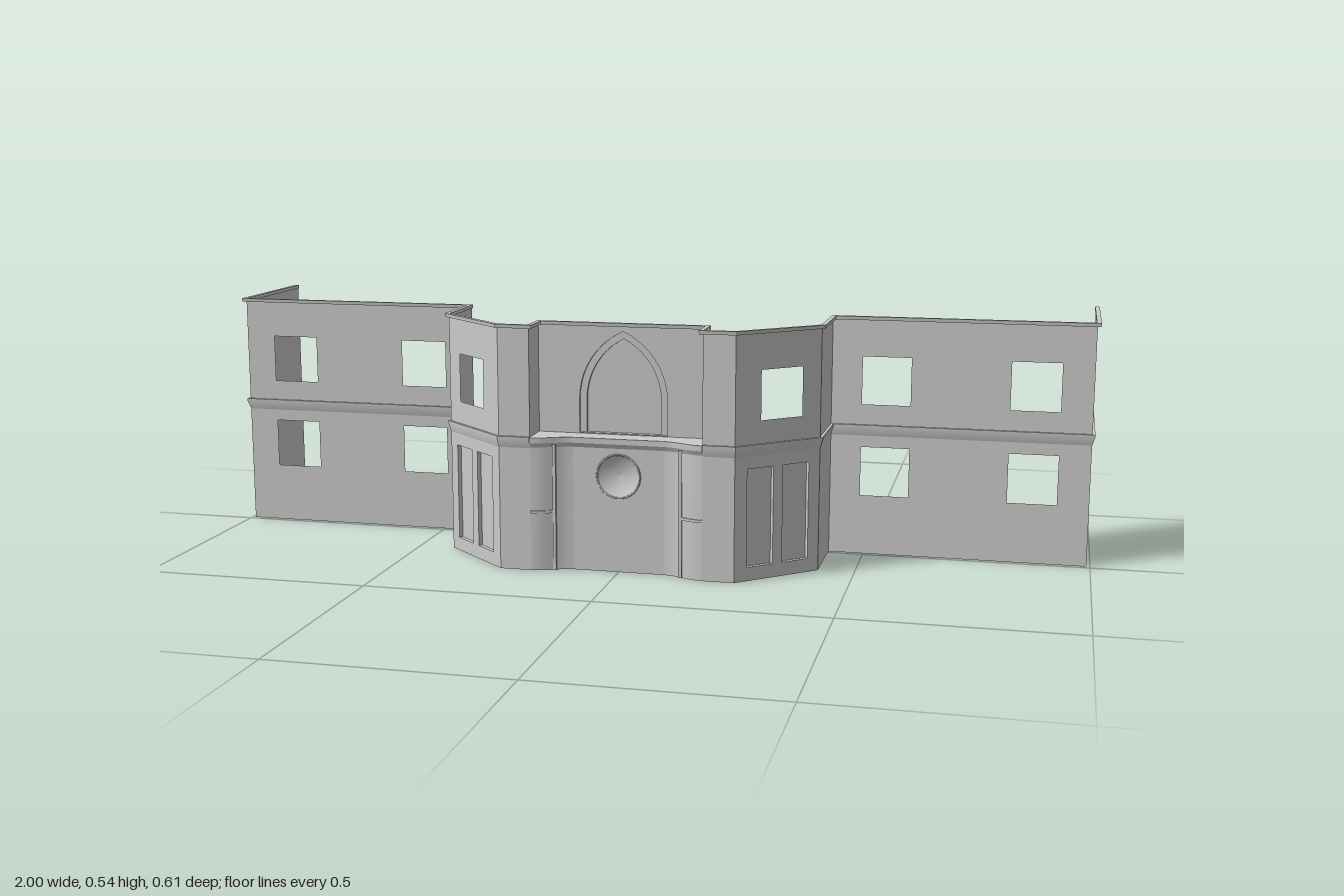
import * as THREE from 'three';
import { toCreasedNormals } from 'three/addons/utils/BufferGeometryUtils.js';

const material = new THREE.MeshStandardMaterial({ color: 0xcccccc, side: THREE.DoubleSide });
const MID = 0.296, TOP = 0.535;

function addMesh(parent, name, geometry) {
  const mesh = new THREE.Mesh(geometry, material);
  mesh.name = name;
  parent.add(mesh);
  return mesh;
}

const rect = (u0, u1, y0, y1) => [[u0, y0], [u1, y0], [u1, y1], [u0, y1]].map(p => new THREE.Vector2(...p));
const mirrorPath = path => path.map(([x, z]) => [-x, z]).reverse();

// Non-indexed surface through a grid of points
function gridGeometry(rows) {
  const pos = [];
  for (let i = 0; i + 1 < rows.length; i++) {
    for (let j = 0; j + 1 < rows[i].length; j++) {
      const a = rows[i][j], b = rows[i + 1][j], c = rows[i + 1][j + 1], d = rows[i][j + 1];
      pos.push(...a, ...b, ...c, ...a, ...c, ...d);
    }
  }
  const g = new THREE.BufferGeometry();
  g.setAttribute('position', new THREE.Float32BufferAttribute(pos, 3));
  g.computeVertexNormals();
  return toCreasedNormals(g, 0.4);
}

// Sweeps an (outward, y) profile along an (x, z) plan path with mitred corners
function sweep(path, profile) {
  const normal = (a, b) => new THREE.Vector2(a[1] - b[1], b[0] - a[0]).normalize();
  const rows = path.map((p, i) => {
    const n1 = normal(path[Math.max(i - 1, 0)], path[Math.max(i, 1)]);
    const n2 = i + 1 < path.length ? normal(p, path[i + 1]) : n1;
    const m = n1.clone().add(n2).divideScalar(1 + n1.dot(n2));
    return profile.map(([o, y]) => [p[0] + m.x * o, y, p[1] + m.y * o]);
  });
  return gridGeometry(rows);
}

// Flat sheet with holes
function sheet(outline, holes = []) {
  const shape = new THREE.Shape(outline);
  holes.forEach(h => shape.holes.push(new THREE.Path(h)));
  return new THREE.ShapeGeometry(shape);
}

// Side faces of a recess, from depth z0 to z1
function reveal(contour, z0, z1) {
  return gridGeometry([...contour, contour[0]].map(p => [[p.x, p.y, z0], [p.x, p.y, z1]]));
}

// Upright wall from plan point a to b, with open windows and recessed panels
function wall(parent, name, a, b, y0, y1, windows = [], panels = []) {
  const group = new THREE.Group();
  group.name = name;
  const dx = b[0] - a[0], dz = b[1] - a[1], length = Math.hypot(dx, dz);
  group.position.set(a[0], 0, a[1]);
  group.rotation.y = Math.atan2(-dz, dx);
  addMesh(group, 'wallFace', sheet(rect(0, length, y0, y1), [...windows, ...panels]));
  panels.forEach(p => {
    addMesh(group, 'panelReveal', reveal(p, 0, -0.009));
    addMesh(group, 'panelBack', sheet(p)).position.z = -0.009;
  });
  parent.add(group);
}

// Pointed arch outline of half width w, standing on y = MID
function archOutline(w) {
  const spring = 0.372, cx = 0.066, r = w + cx, end = Math.acos(cx / r), right = [];
  for (let i = 0; i <= 10; i++) {
    const t = end * i / 10;
    right.push(new THREE.Vector2(-cx + r * Math.cos(t), spring + r * Math.sin(t)));
  }
  const left = right.slice(0, -1).reverse().map(p => new THREE.Vector2(-p.x, p.y));
  return [new THREE.Vector2(-w, MID + 0.002), new THREE.Vector2(w, MID + 0.002), ...right, ...left];
}

export function createModel() {
  const model = new THREE.Group();
  model.name = 'buildingFacade';

  // Plan of the left half, from the niche outward to the end of the wing
  const half = [[0.19, 0.225], [0.19, 0.298], [0.26, 0.298], [0.42, 0.154], [0.422, -0.01], [0.992, -0.01], [0.992, -0.305]];
  const names = ['nicheReturn', 'bayFront', 'bayDiagonal', 'bayFlank', 'wingFront', 'wingEnd'];

  for (const s of [1, -1]) {
    const side = new THREE.Group();
    side.name = s > 0 ? 'leftSide' : 'rightSide';
    model.add(side);
    names.forEach((name, i) => {
      let a = half[i], b = half[i + 1];
      const length = Math.hypot(b[0] - a[0], b[1] - a[1]);
      if (s < 0) [a, b] = mirrorPath([a, b]);
      const hole = (u0, u1, y0, y1) => s > 0 ? rect(u0, u1, y0, y1) : rect(length - u1, length - u0, y0, y1);
      let upper = [], lower = [], panels = [];
      if (name === 'wingFront') {
        for (const x of [0.49, 0.815]) {
          upper.push(hole(x - 0.422, x - 0.314, 0.343, 0.451));
          lower.push(hole(x - 0.422, x - 0.314, 0.135, 0.246));
        }
      }
      if (name === 'bayDiagonal') {
        upper = [hole(0.064, 0.168, 0.347, 0.455)];
        panels = [hole(0.031, 0.097, 0.03, 0.245), hole(0.121, 0.187, 0.03, 0.245)];
      }
      wall(side, name + 'Upper', a, b, MID, TOP, upper);
      if (i > 0) wall(side, name + 'Lower', a, b, 0, MID, lower, panels);
    });
    // Flared string course between the storeys
    const course = half.slice(1);
    addMesh(side, 'stringCourse', sweep(s > 0 ? course : mirrorPath(course), [[0, 0.272], [0.006, 0.292], [0.006, 0.297], [0, 0.297]]));
  }

  // Cornice round the whole top edge
  addMesh(model, 'cornice', sweep([...mirrorPath(half), ...half],
    [[0, 0.533], [0.007, 0.533], [0.008, 0.541], [-0.002, 0.541], [-0.002, 0.533], [0, 0.533]]));

  // Upper niche wall with a stepped pointed arch
  const niche = new THREE.Group();
  niche.name = 'archNiche';
  niche.position.z = 0.225;
  model.add(niche);
  const outer = archOutline(0.098), inner = archOutline(0.083);
  addMesh(niche, 'nicheWall', sheet(rect(-0.19, 0.19, MID, TOP), [outer]));
  addMesh(niche, 'archOuterReveal', reveal(outer, 0, -0.006));
  addMesh(niche, 'archMoulding', sheet(outer, [inner])).position.z = -0.006;
  addMesh(niche, 'archInnerReveal', reveal(inner, -0.006, -0.013));
  addMesh(niche, 'archBack', sheet(inner)).position.z = -0.013;

  // Lower centre: flat wall with a round dish, curving out to the bays
  const circle = new THREE.Path().absarc(0, 0.213, 0.048, 0, Math.PI * 2).getPoints(32).slice(0, -1);
  addMesh(model, 'centreWall', sheet(rect(-0.1, 0.1, 0, 0.285), [circle])).position.z = 0.27;
  const dishProfile = [[0, -0.016], [0.016, -0.014], [0.032, -0.009], [0.043, -0.003], [0.048, 0]].map(p => new THREE.Vector2(...p));
  const dish = addMesh(model, 'roundDish', new THREE.LatheGeometry(dishProfile, 32));
  dish.rotation.x = Math.PI / 2;
  dish.position.set(0, 0.213, 0.27);
  const rim = addMesh(model, 'dishRim', new THREE.TorusGeometry(0.048, 0.002, 6, 32));
  rim.position.set(0, 0.213, 0.27);

  const curve = [[0.1, 0.27], [0.115, 0.272], [0.13, 0.277], [0.145, 0.284], [0.16, 0.291], [0.175, 0.296], [0.19, 0.298]];
  for (const s of [1, -1]) {
    const path = s > 0 ? curve : mirrorPath(curve);
    const band = s > 0 ? curve.slice(3) : mirrorPath(curve.slice(3));
    addMesh(model, 'curvedWall', sweep(path, [[0, 0], [0, 0.285]]));
    addMesh(model, 'wallBand', sweep(band, [[0, 0.128], [0.003, 0.128], [0.003, 0.134], [0, 0.134]]));
    const strip = addMesh(model, 'pilasterStrip', new THREE.BoxGeometry(0.007, 0.28, 0.012));
    strip.position.set(s * 0.14, 0.14, 0.281);
  }

  // Ledge over the lower centre, following its curve
  const front = [...mirrorPath(curve), ...curve];
  const ledgeShape = new THREE.Shape([[0.19, 0.225], [-0.19, 0.225], ...front].map(([x, z]) => new THREE.Vector2(x, -z)));
  const ledge = addMesh(model, 'ledge', new THREE.ExtrudeGeometry(ledgeShape, { depth: 0.012, bevelEnabled: false }));
  ledge.rotation.x = -Math.PI / 2;
  ledge.position.y = 0.284;
  addMesh(model, 'ledgeMoulding', sweep(front, [[0, 0.274], [0.005, 0.284], [0.005, 0.296], [0, 0.296]]));

  return model;
}
